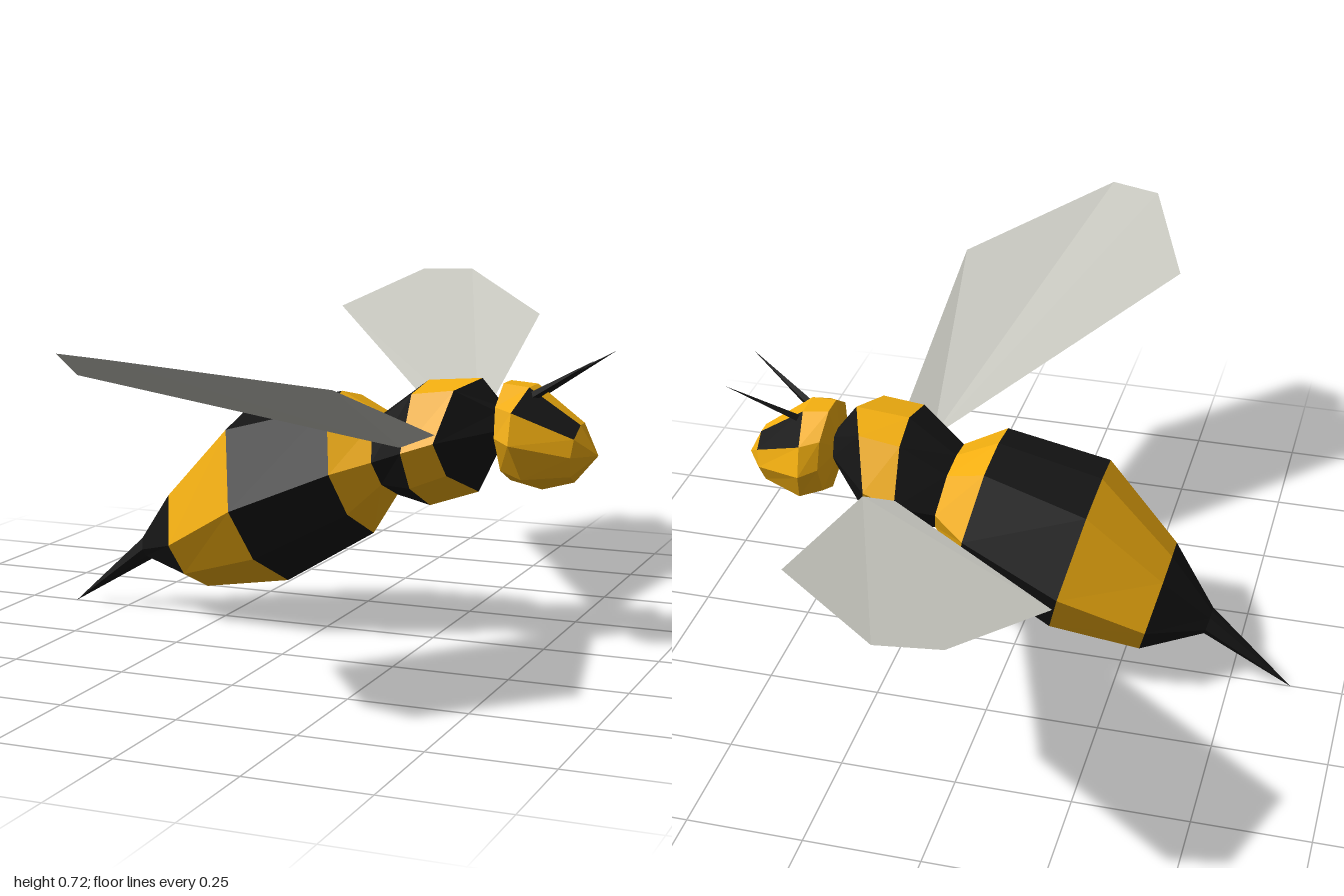
import * as THREE from 'three';

const YELLOW = 0xf2ae10, BLACK = 0x151515, WING = 0xc8c8c0;

function mesh(name, positions, color, side = THREE.FrontSide) {
  const geo = new THREE.BufferGeometry();
  geo.setAttribute('position', new THREE.Float32BufferAttribute(positions, 3));
  geo.computeVertexNormals();
  const m = new THREE.Mesh(geo, new THREE.MeshStandardMaterial({ color, flatShading: true, side }));
  m.name = name;
  return m;
}

// Half cross-sections [across, up], from the top down; mirrored to a full ring
const BODY_HALF = [[0, 1], [0.6, 0.86], [1, 0], [0.7, -0.6], [0, -1]];
const HEAD_HALF = [[0.25, 1], [0.85, 0.6], [1, 0], [0.65, -0.7], [0, -1]];

// Ring between a top point and a bottom point, with half width w;
// shift moves its flanks along the body
function ring([tx, ty, bx, by, w, shift = 0], half) {
  const mirrored = half.filter(p => p[0] > 0).reverse().map(([u, v]) => [-u, v]);
  return [...half, ...mirrored].map(([u, v]) => {
    const t = (1 - v) / 2;
    return [tx + (bx - tx) * t + shift * Math.abs(u), ty + (by - ty) * t, u * w];
  });
}

// Triangles joining two rings, optionally only for some of the sectors
function band(a, b, keep = () => true) {
  const out = [];
  a.forEach((_, i) => {
    if (!keep(i)) return;
    const j = (i + 1) % a.length;
    out.push(...a[i], ...a[j], ...b[i], ...a[j], ...b[j], ...b[i]);
  });
  return out;
}

function createBody() {
  const body = new THREE.Group();
  body.name = 'body';
  const rings = [
    [-0.635, 0.003, -0.635, 0.003, 0],
    [-0.45, 0.175, -0.435, 0.12, 0.035],
    [-0.355, 0.305, -0.295, 0.068, 0.135],
    [-0.195, 0.48, -0.095, 0.1, 0.205],
    [0.035, 0.535, 0.11, 0.225, 0.17],
    [0.13, 0.49, 0.165, 0.315, 0.115],
    [0.235, 0.57, 0.24, 0.297, 0.155, -0.01],
    [0.355, 0.58, 0.35, 0.335, 0.15, -0.055],
    [0.4, 0.52, 0.395, 0.43, 0.05],
    [0.405, 0.475, 0.405, 0.475, 0],
  ].map(r => ring(r, BODY_HALF));
  const stripes = [
    ['stinger', BLACK], ['abdomenTip', BLACK], ['abdomenRearStripe', YELLOW],
    ['abdomenDarkStripe', BLACK], ['abdomenFrontStripe', YELLOW],
    ['thoraxRear', BLACK], ['thoraxStripe', YELLOW], ['thoraxFront', BLACK], ['neck', BLACK],
  ];
  stripes.forEach(([name, color], i) => body.add(mesh(name, band(rings[i], rings[i + 1]), color)));
  return body;
}

function createHead() {
  const head = new THREE.Group();
  head.name = 'head';
  const r = [
    [0.395, 0.47, 0.395, 0.47, 0],
    [0.41, 0.575, 0.42, 0.365, 0.105],
    [0.475, 0.57, 0.49, 0.35, 0.13, -0.03],
    [0.575, 0.495, 0.56, 0.37, 0.065],
    [0.61, 0.43, 0.61, 0.43, 0],
  ].map(p => ring(p, HEAD_HALF));
  // Eyes fill the upper sector on each side of the face
  const isEye = i => i === 0 || i === 7;
  head.add(mesh('skull', [
    ...band(r[0], r[1]), ...band(r[1], r[2]),
    ...band(r[2], r[3], i => !isEye(i)), ...band(r[3], r[4]),
  ], YELLOW));
  head.add(mesh('rightEye', band(r[2], r[3], i => i === 7), BLACK));
  head.add(mesh('leftEye', band(r[2], r[3], i => i === 0), BLACK));

  // Antennae
  for (const s of [1, -1]) {
    const from = new THREE.Vector3(0.465, 0.545, 0.03 * s);
    const to = new THREE.Vector3(0.62, 0.64, 0.085 * s);
    const dir = to.clone().sub(from);
    const antenna = new THREE.Mesh(
      new THREE.ConeGeometry(0.011, dir.length(), 4),
      new THREE.MeshStandardMaterial({ color: BLACK, flatShading: true }));
    antenna.name = s > 0 ? 'frontAntenna' : 'backAntenna';
    antenna.position.copy(from).add(to).multiplyScalar(0.5);
    antenna.quaternion.setFromUnitVectors(new THREE.Vector3(0, 1, 0), dir.normalize());
    head.add(antenna);
  }
  return head;
}

// Thin wing outline fanned from its root
function createWing(name, outline) {
  const pos = [];
  for (let i = 1; i < outline.length - 1; i++) pos.push(...outline[0], ...outline[i], ...outline[i + 1]);
  return mesh(name, pos, WING, THREE.DoubleSide);
}

export function createModel() {
  const bee = new THREE.Group();
  bee.name = 'bee';
  bee.add(createBody(), createHead());
  bee.add(createWing('frontWing', [
    [0.225, 0.443, 0.14], [0.298, 0.475, 0.14], [0.296, 0.642, 0.69],
    [0, 0.72, 1], [-0.12, 0.72, 0.96], [-0.23, 0.642, 0.69],
  ]));
  bee.add(createWing('backWing', [
    [0.298, 0.45, -0.15], [0.225, 0.45, -0.15], [-0.255, 0.642, -0.715],
    [-0.13, 0.72, -0.98], [-0.005, 0.722, -1], [0.265, 0.642, -0.715],
  ]));
  return bee;
}
